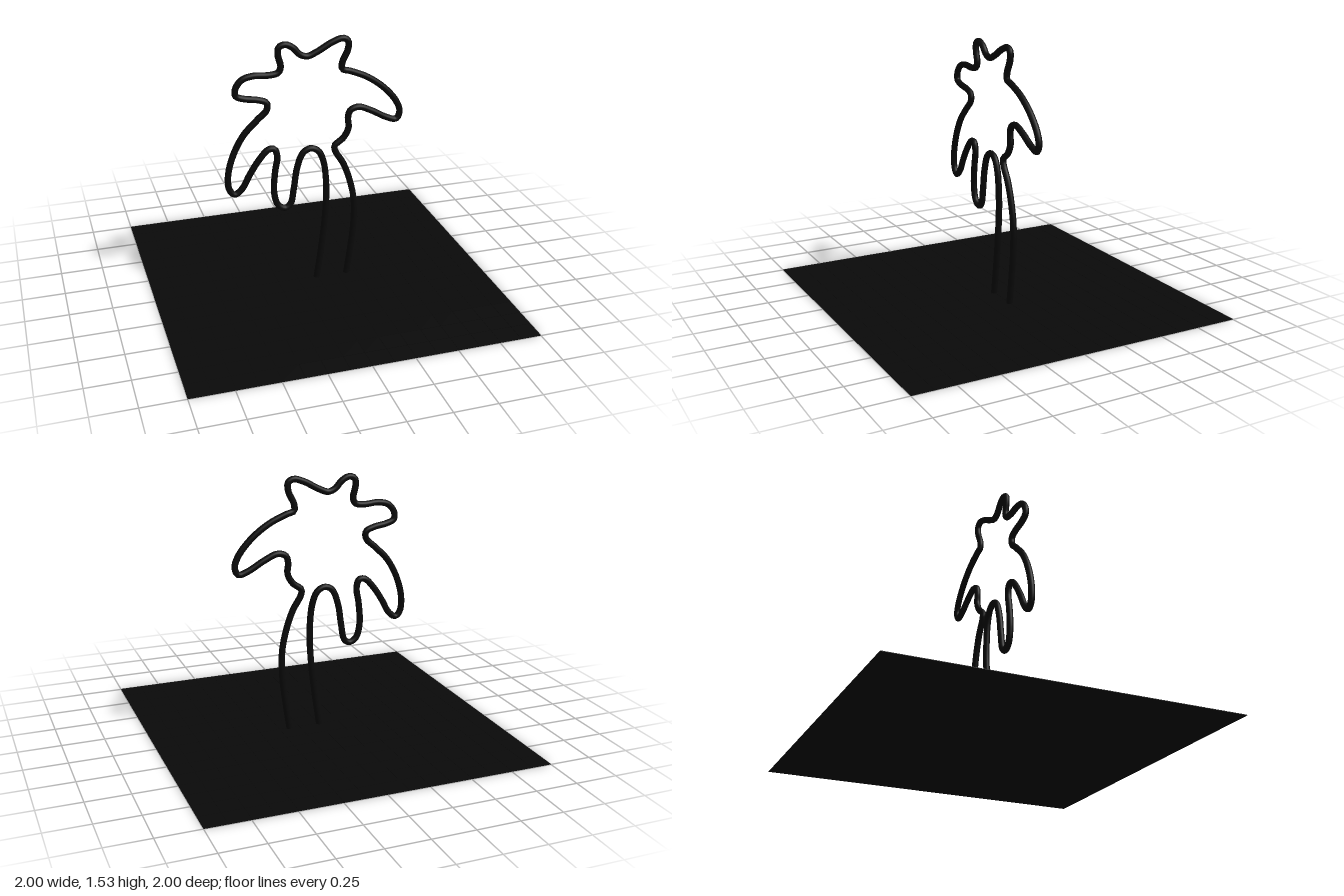
import * as THREE from 'three';

const TUBE_RADIUS = 0.019;
const FLOOR_SIZE = 2;
const TILES = 16;

// Centre line of the palm outline, one short run of [x, y] points per part
const outline = {
  trunkInnerEdge: [[-0.005, 0], [0.025, 0.21], [0.047, 0.41], [0.055, 0.6], [0.037, 0.77], [0.005, 0.84], [-0.04, 0.862]],
  lowerFrond: [[-0.087, 0.84], [-0.125, 0.745], [-0.145, 0.62], [-0.167, 0.52], [-0.2, 0.5], [-0.242, 0.525],
    [-0.265, 0.61], [-0.258, 0.735], [-0.243, 0.837], [-0.26, 0.885]],
  droopingFrond: [[-0.295, 0.885], [-0.35, 0.83], [-0.41, 0.74], [-0.455, 0.66], [-0.5, 0.628], [-0.53, 0.66],
    [-0.537, 0.745], [-0.505, 0.87], [-0.44, 0.99], [-0.355, 1.077], [-0.3, 1.13]],
  sideFrond: [[-0.3, 1.172], [-0.35, 1.195], [-0.43, 1.21], [-0.478, 1.232], [-0.478, 1.275], [-0.44, 1.323],
    [-0.375, 1.34], [-0.285, 1.335], [-0.23, 1.345]],
  upperFrond: [[-0.215, 1.377], [-0.23, 1.447], [-0.226, 1.49], [-0.19, 1.505], [-0.145, 1.484], [-0.103, 1.44], [-0.06, 1.425]],
  topFrond: [[0, 1.447], [0.09, 1.495], [0.153, 1.512], [0.183, 1.492], [0.18, 1.44], [0.148, 1.37], [0.148, 1.33]],
  longFrond: [[0.196, 1.313], [0.303, 1.265], [0.41, 1.185], [0.485, 1.094], [0.506, 1.03], [0.485, 0.987],
    [0.426, 1.003], [0.33, 1.056], [0.25, 1.088], [0.2, 1.072]],
  trunkOuterEdge: [[0.186, 1.03], [0.19, 0.965], [0.16, 0.906], [0.105, 0.86], [0.11, 0.826], [0.16, 0.74], [0.2, 0.63],
    [0.228, 0.495], [0.228, 0.334], [0.207, 0.147], [0.186, 0]],
};

// One continuous bent tube, cut flush with the ground
function createPalmOutline(material) {
  const points = Object.values(outline).flat().map(([x, y]) => new THREE.Vector3(x, y, 0));
  const curve = new THREE.CatmullRomCurve3(points, false, 'centripetal');
  curve.arcLengthDivisions = 1000;
  const geometry = new THREE.TubeGeometry(curve, 400, TUBE_RADIUS, 12, false);
  const position = geometry.attributes.position;
  for (let i = 0; i < position.count; i++) position.setY(i, Math.max(0, position.getY(i)));
  const mesh = new THREE.Mesh(geometry, material);
  mesh.name = 'palmOutline';
  return mesh;
}

// Thin square base with a grid of shallow tiles on top
function createFloor(material) {
  const floor = new THREE.Group();
  floor.name = 'floor';
  const slab = new THREE.Mesh(new THREE.BoxGeometry(FLOOR_SIZE, 0.002, FLOOR_SIZE), material);
  slab.name = 'floorSlab';
  slab.position.y = 0.001;
  floor.add(slab);

  const pitch = FLOOR_SIZE / TILES;
  const tileGeometry = new THREE.BoxGeometry(pitch - 0.004, 0.002, pitch - 0.004);
  for (let row = 0; row < TILES; row++) {
    for (let column = 0; column < TILES; column++) {
      const tile = new THREE.Mesh(tileGeometry, material);
      tile.name = 'floorTile';
      tile.position.set((column + 0.5) * pitch - 1, 0.003, (row + 0.5) * pitch - 1);
      floor.add(tile);
    }
  }
  return floor;
}

export function createModel() {
  const model = new THREE.Group();
  model.name = 'palmOutlineOnFloor';
  const black = new THREE.MeshStandardMaterial({ color: 0x0a0a0a, side: THREE.DoubleSide });
  model.add(createPalmOutline(black), createFloor(black));
  return model;
}
